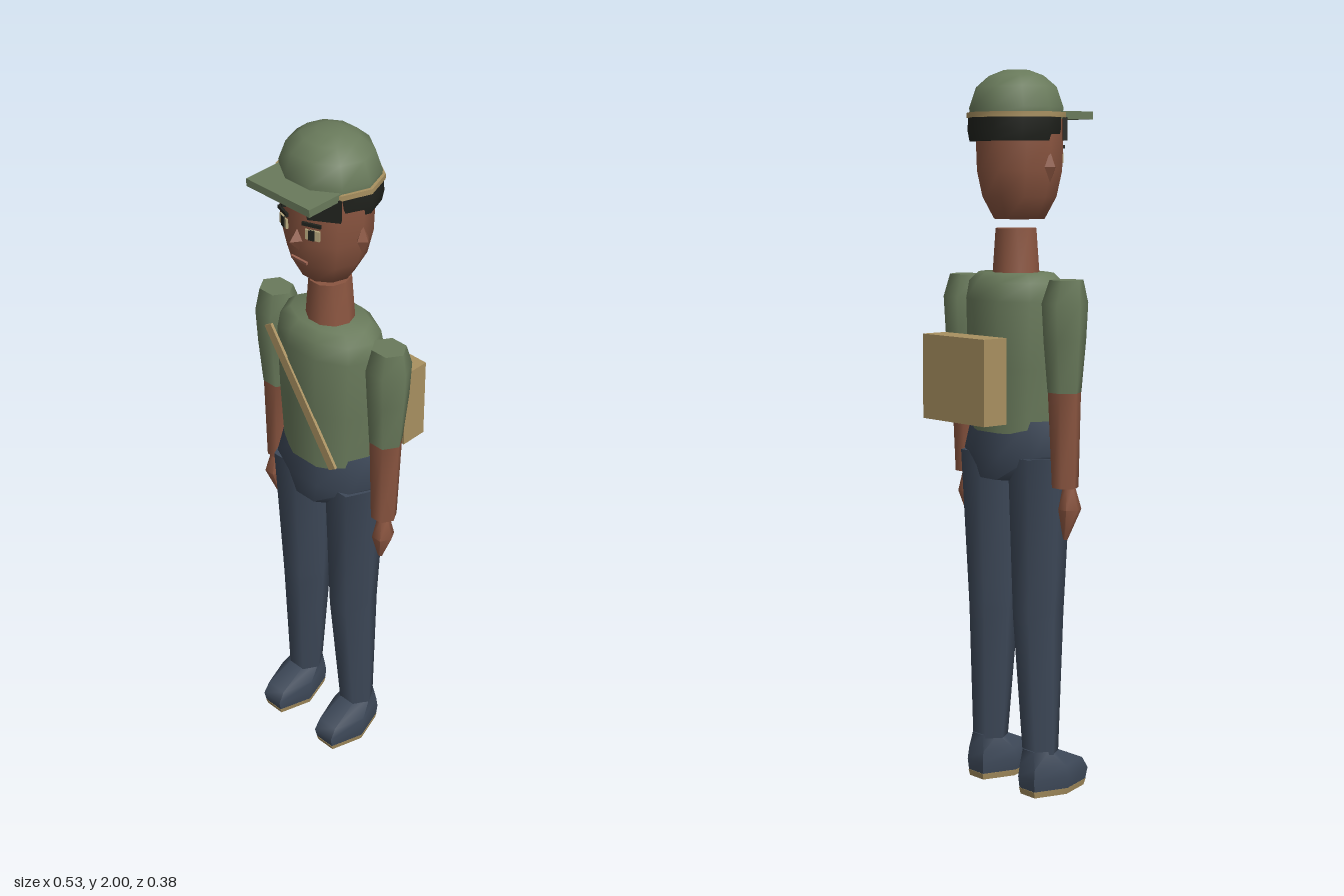
import * as THREE from 'three';
import { toCreasedNormals } from 'three/addons/utils/BufferGeometryUtils.js';

const mat = (name, color) => {
  const m = new THREE.MeshStandardMaterial({ color });
  m.name = name;
  return m;
};

// Closed stack of elliptical polygon rings: [y, rx, rz, cx, cz]
function loft(rings, n, crease = 1.15) {
  const pos = [], idx = [];
  for (const [y, rx, rz, cx = 0, cz = 0] of rings) {
    for (let i = 0; i < n; i++) {
      const a = (i / n) * Math.PI * 2;
      pos.push(cx + Math.cos(a) * rx, y, cz + Math.sin(a) * rz);
    }
  }
  const last = rings.length - 1, bottom = rings.length * n, top = bottom + 1;
  for (const r of [rings[0], rings[last]]) pos.push(r[3] || 0, r[0], r[4] || 0);
  for (let i = 0; i < n; i++) {
    const j = (i + 1) % n;
    for (let k = 0; k < last; k++) {
      const a = k * n + i, b = k * n + j;
      idx.push(a, a + n, b, b, a + n, b + n);
    }
    idx.push(bottom, i, j, top, last * n + j, last * n + i);
  }
  const g = new THREE.BufferGeometry();
  g.setAttribute('position', new THREE.Float32BufferAttribute(pos, 3));
  g.setIndex(idx);
  return toCreasedNormals(g, crease);
}

export function createModel() {
  const model = new THREE.Group();
  model.name = 'courier';
  const green = mat('shirt green', 0x697a5b);
  const tan = mat('canvas tan', 0xa89060);
  const skin = mat('skin brown', 0x8a5540);
  const denim = mat('trouser blue', 0x3d4858);
  const dark = mat('hair black', 0x20221d);
  const eyeWhite = mat('eye cream', 0xb5a67c);
  const lip = mat('lip brown', 0x9a6250);

  const add = (name, geo, material, parent = model) => {
    const m = new THREE.Mesh(geo, material);
    m.name = name;
    parent.add(m);
    return m;
  };
  const box = (name, size, at, material) => {
    const m = add(name, new THREE.BoxGeometry(...size), material);
    m.position.set(...at);
    return m;
  };

  // Body
  add('pelvis', loft([[0.89, 0.108, 0.106], [0.96, 0.175, 0.115], [1.055, 0.152, 0.095]], 10), denim);
  add('torso', loft([
    [1.02, 0.145, 0.107], [1.2, 0.156, 0.115], [1.38, 0.163, 0.116],
    [1.43, 0.155, 0.106], [1.455, 0.125, 0.082],
  ], 10), green);
  add('neck', loft([[1.44, 0.07, 0.063], [1.575, 0.055, 0.06]], 10), skin);

  // Satchel and its chest strap
  box('satchel', [0.26, 0.235, 0.08], [0.044, 1.167, -0.15], tan);
  const strap = box('strap', [0.028, 0.43, 0.008], [0, 1.238, 0.112], tan);
  strap.rotation.z = Math.atan2(0.24, 0.36);

  // Head
  add('head', loft([
    [1.6, 0.072, 0.07, 0, 0.012], [1.66, 0.107, 0.1, 0, 0.012], [1.73, 0.125, 0.112, 0, 0.012],
    [1.82, 0.13, 0.113, 0, 0.012], [1.88, 0.125, 0.11, 0, 0.012],
  ], 10), skin);
  add('hair', loft([[1.81, 0.133, 0.114, 0, -0.008], [1.84, 0.14, 0.118, 0, -0.008], [1.878, 0.138, 0.118, 0, -0.006]], 10), dark);
  const nose = add('nose', new THREE.OctahedronGeometry(1), skin);
  nose.scale.set(0.023, 0.038, 0.035);
  nose.position.set(0, 1.735, 0.111);
  box('mouth', [0.055, 0.008, 0.006], [0, 1.67, 0.112], lip).rotation.x = 0.2;

  // Cap
  add('capDome', loft([
    [1.88, 0.136, 0.122], [1.9, 0.138, 0.123], [1.955, 0.117, 0.106],
    [1.985, 0.08, 0.072], [2.0, 0.038, 0.034],
  ], 10), green);
  add('capBand', loft([[1.873, 0.145, 0.131], [1.887, 0.145, 0.131]], 10), tan);
  box('capVisor', [0.22, 0.021, 0.145], [0, 1.88, 0.1125], green);

  for (const s of [1, -1]) {
    const side = s > 0 ? 'left' : 'right';
    const part = new THREE.Group();
    part.name = side + 'Limbs';
    model.add(part);
    const limb = (name, rings, material, n = 6) =>
      add(side + name, loft(rings.map(([y, rx, rz, cx, cz]) => [y, rx, rz, cx * s, cz]), n), material, part);

    // Face details
    box(side + 'Eye', [0.04, 0.028, 0.006], [s * 0.051, 1.765, 0.115], eyeWhite).rotation.y = s * 0.35;
    box(side + 'Pupil', [0.016, 0.028, 0.006], [s * 0.05, 1.765, 0.118], dark).rotation.y = s * 0.35;
    box(side + 'Brow', [0.052, 0.009, 0.007], [s * 0.05, 1.795, 0.118], dark).rotation.y = s * 0.35;
    box(side + 'Fringe', [0.086, 0.063, 0.012], [s * 0.077, 1.843, 0.1], dark).rotation.y = s * 0.56;
    const ear = add(side + 'Ear', new THREE.OctahedronGeometry(1), skin);
    ear.scale.set(0.02, 0.042, 0.02);
    ear.position.set(s * 0.125, 1.74, 0.012);

    // Arm
    limb('Sleeve', [
      [1.14, 0.048, 0.046, 0.203, -0.005], [1.28, 0.056, 0.06, 0.206, -0.007],
      [1.38, 0.06, 0.066, 0.206, -0.007], [1.442, 0.05, 0.045, 0.208, -0.004],
    ], green);
    limb('Forearm', [[0.88, 0.037, 0.037, 0.204, -0.002], [1.14, 0.047, 0.045, 0.203, -0.005]], skin);
    limb('Hand', [
      [0.735, 0.007, 0.006, 0.199, 0.004], [0.82, 0.031, 0.033, 0.212, 0.008],
      [0.882, 0.016, 0.018, 0.21, 0.006],
    ], skin);

    // Leg and shoe
    limb('Leg', [
      [0.12, 0.053, 0.05, 0.107, -0.003], [0.5, 0.064, 0.075, 0.094, 0],
      [0.53, 0.066, 0.076, 0.094, 0], [0.955, 0.08, 0.095, 0.1, 0],
    ], denim);
    limb('Shoe', [
      [0.015, 0.062, 0.112, 0.11, 0.041], [0.05, 0.067, 0.118, 0.11, 0.043],
      [0.083, 0.063, 0.104, 0.11, 0.035], [0.13, 0.045, 0.042, 0.108, -0.014],
    ], denim);
    limb('Sole', [[0, 0.059, 0.108, 0.11, 0.04], [0.018, 0.063, 0.114, 0.11, 0.041]], tan);
  }
  return model;
}
